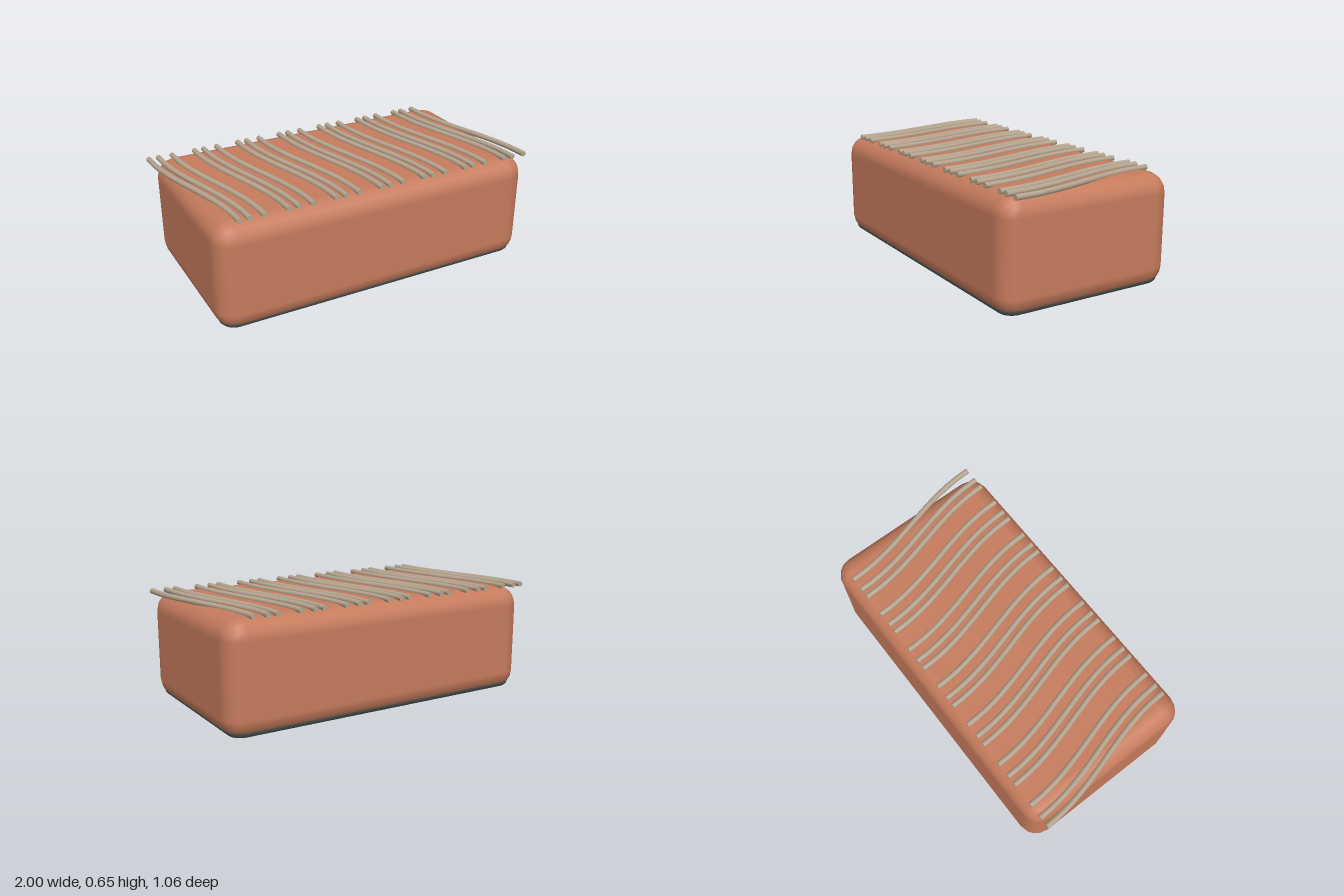
import * as THREE from 'three';
import { RoundedBoxGeometry } from 'three/addons/geometries/RoundedBoxGeometry.js';

const CENTER_X = 0.01;
const RIB_RADIUS = 0.016;

function makeMaterial(name, color) {
  const material = new THREE.MeshStandardMaterial({ color });
  material.name = name;
  return material;
}

// Rounded-rectangle ring: a torus whose four quadrants are pulled apart
function rimGeometry(halfX, halfZ, corner, radius) {
  const segments = 40;
  const geometry = new THREE.TorusGeometry(corner, radius, 12, segments);
  geometry.rotateZ(Math.PI / segments);
  geometry.rotateX(Math.PI / 2);
  const p = geometry.attributes.position;
  for (let i = 0; i < p.count; i++) {
    p.setX(i, p.getX(i) + Math.sign(p.getX(i)) * (halfX - corner));
    p.setZ(i, p.getZ(i) + Math.sign(p.getZ(i)) * (halfZ - corner));
  }
  return geometry;
}

// Gentle S from back to front, drifting towards +x
function ribCurve() {
  const points = [];
  for (let i = 0; i <= 12; i++) {
    const t = i / 12;
    points.push(new THREE.Vector3(
      0.177 * (1 - Math.cos(Math.PI * t)) / 2, 0, -0.48 + 0.96 * t));
  }
  return new THREE.CatmullRomCurve3(points);
}

export function createModel() {
  const model = new THREE.Group();
  const clay = makeMaterial('terracotta', 0xc67b5c);
  const slate = makeMaterial('slate', 0x4f5a56);
  const sand = makeMaterial('sand', 0xb5a48f);

  const add = (parent, name, geometry, material, x, y, z) => {
    const mesh = new THREE.Mesh(geometry, material);
    mesh.name = name;
    mesh.position.set(x, y, z);
    parent.add(mesh);
    return mesh;
  };

  // Block with softly rounded edges
  add(model, 'body', new RoundedBoxGeometry(1.934, 0.634, 1.063, 2, 0.113),
    clay, CENTER_X, 0.3127, 0);

  // Dark tube hugging the lower edge
  add(model, 'baseRim', rimGeometry(0.909, 0.475, 0.055, 0.035),
    slate, CENTER_X, 0.046, 0);

  // Seven clusters of three wavy ribs across the top
  const curve = ribCurve();
  const tube = new THREE.TubeGeometry(curve, 28, RIB_RADIUS, 10, false);
  const cap = new THREE.CircleGeometry(RIB_RADIUS, 10);
  const ribs = new THREE.Group();
  ribs.name = 'ribs';
  model.add(ribs);
  for (let i = 0; i < 7; i++) {
    for (const offset of [0, 0.057, 0.139]) {
      const rib = new THREE.Group();
      rib.name = 'rib';
      rib.position.set(-0.984 + i * 0.2754 + offset, 0.633, 0);
      add(rib, 'ribTube', tube, sand, 0, 0, 0);
      add(rib, 'ribFrontCap', cap, sand, 0.177, 0, 0.48);
      add(rib, 'ribBackCap', cap, sand, 0, 0, -0.48).rotation.y = Math.PI;
      ribs.add(rib);
    }
  }
  return model;
}
